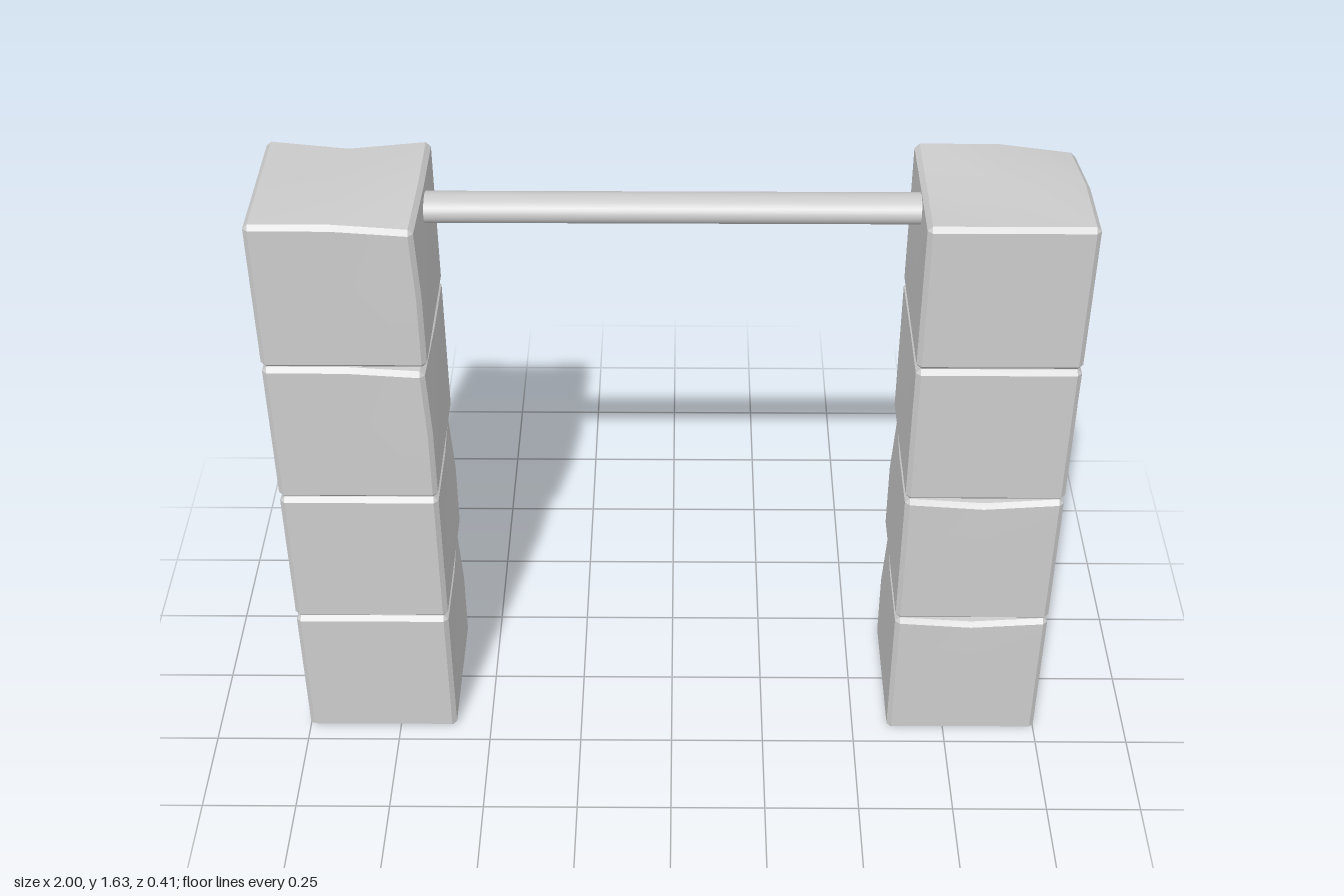
import * as THREE from 'three';
import { toCreasedNormals } from 'three/addons/utils/BufferGeometryUtils.js';

const SIZE = 0.405, HALF = SIZE / 2, BEVEL = 0.012, PITCH = 0.4073;

// Bevelled stone cube with one chipped top corner and one worn top edge
function wornBlock() {
  const geo = new THREE.BoxGeometry(2, 2, 2, 4, 4, 4);
  const pos = geo.attributes.position;
  const steps = [-HALF, BEVEL - HALF, 0, HALF - BEVEL, HALF];
  for (let i = 0; i < pos.count; i++) {
    const grid = [pos.getX(i), pos.getY(i), pos.getZ(i)].map((v) => Math.round(v * 2));
    const outer = grid.filter((g) => Math.abs(g) === 2).length;
    // flatten the edges and corners into chamfers
    const inset = outer === 3 ? BEVEL * 2 / 3 : outer === 2 ? BEVEL / 2 : 0;
    const p = grid.map((g) => steps[g + 2] - (Math.abs(g) === 2 ? Math.sign(g) * inset : 0));
    const [gx, gy, gz] = grid;
    if (gy > 0 && gx > 0 && gz > 0) { // chipped corner
      p[0] -= 0.009;
      p[1] -= 0.019;
      p[2] -= 0.009;
    } else if (gy > 0 && gx === 0 && gz < 0) { // dip in the middle of the back edge
      p[1] -= 0.017;
      p[2] += 0.004;
    }
    pos.setXYZ(i, ...p);
  }
  return toCreasedNormals(geo, 0.4);
}

export function createModel() {
  const model = new THREE.Group();
  const material = new THREE.MeshStandardMaterial({ color: 0xcccccc });
  const blockGeo = wornBlock();

  // Two towers of four blocks, each block turned by quarter turns (bottom to top)
  const towers = [
    { name: 'leftTower', x: 1 - HALF, turns: [2, 2, 1, 1] },
    { name: 'rightTower', x: HALF - 1, turns: [1, 1, 0, 0] },
  ];
  for (const { name, x, turns } of towers) {
    const tower = new THREE.Group();
    tower.name = name;
    turns.forEach((turn, i) => {
      const block = new THREE.Mesh(blockGeo, material);
      block.name = 'stoneBlock';
      block.position.set(x, HALF + i * PITCH, 0);
      block.rotation.y = turn * Math.PI / 2;
      tower.add(block);
    });
    model.add(tower);
  }

  // Slightly flattened crossbar between the top blocks
  const bar = new THREE.Mesh(
    new THREE.CylinderGeometry(1, 1, 1.21, 32).rotateZ(Math.PI / 2).scale(1, 0.035, 0.047),
    material,
  );
  bar.name = 'crossbar';
  bar.position.y = 1.559;
  model.add(bar);

  return model;
}
